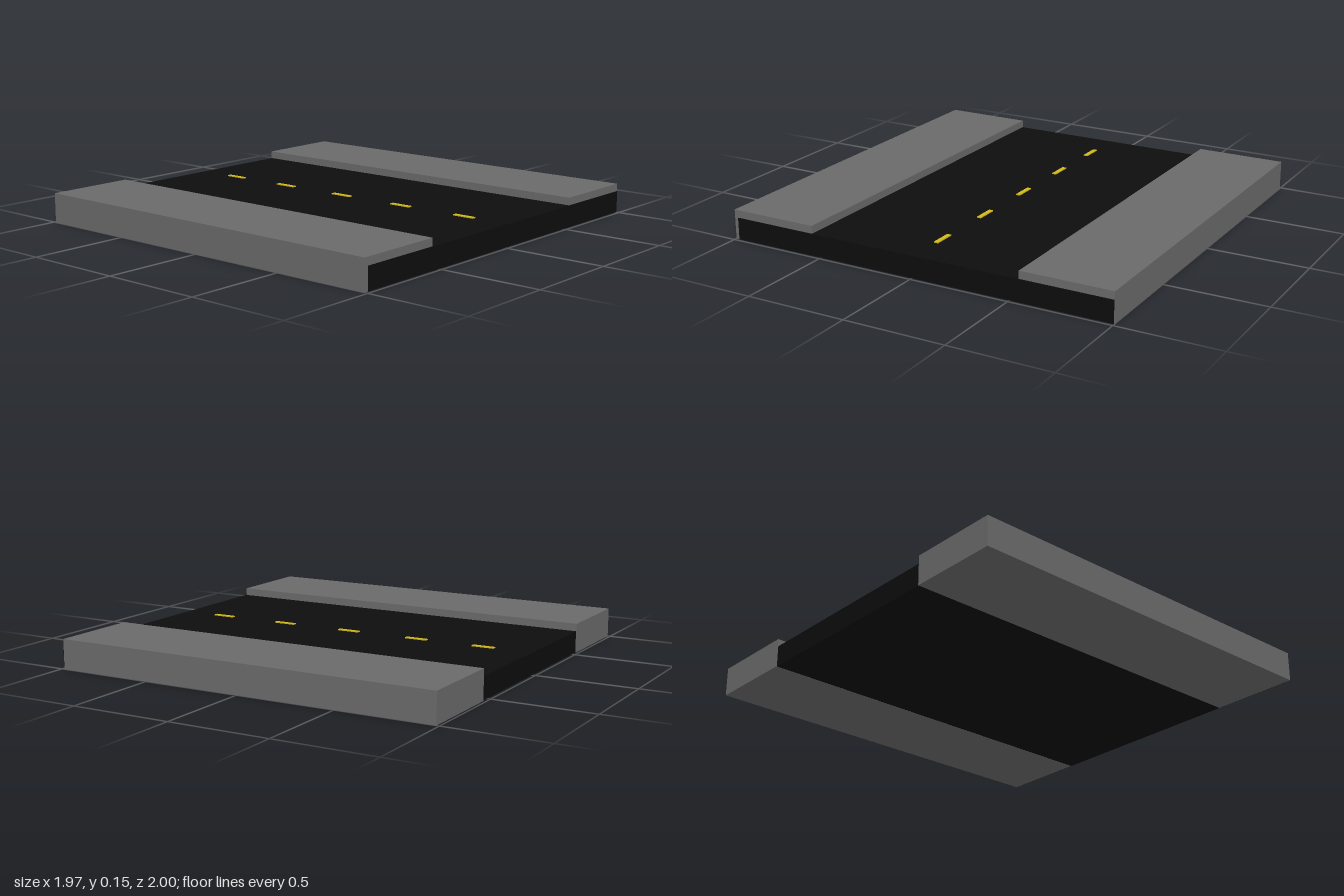
import * as THREE from 'three';

export function createModel() {
  const model = new THREE.Group();
  const paving = new THREE.MeshStandardMaterial({ color: 0x6a6a6a });
  const asphalt = new THREE.MeshStandardMaterial({ color: 0x0d0d0d });
  const paint = new THREE.MeshStandardMaterial({ color: 0xd0b81a });

  // Box given by its minimum and maximum corners
  function box(name, material, [x0, y0, z0], [x1, y1, z1]) {
    const mesh = new THREE.Mesh(new THREE.BoxGeometry(x1 - x0, y1 - y0, z1 - z0), material);
    mesh.position.set((x0 + x1) / 2, (y0 + y1) / 2, (z0 + z1) / 2);
    mesh.name = name;
    model.add(mesh);
  }

  // Road slab, running under both pavements
  box('road', asphalt, [-0.984, 0.001, -0.998], [0.987, 0.109, 0.98]);

  // Raised pavements along both edges
  box('frontPavement', paving, [-0.987, 0, 0.546], [0.984, 0.147, 1]);
  box('backPavement', paving, [-0.987, 0, -1], [0.984, 0.147, -0.546]);

  // Dashed centre line
  for (const x of [-0.737, -0.381, -0.004, 0.37, 0.746]) {
    box('laneDash', paint, [x - 0.057, 0.1, -0.024], [x + 0.057, 0.114, -0.002]);
  }
  return model;
}
